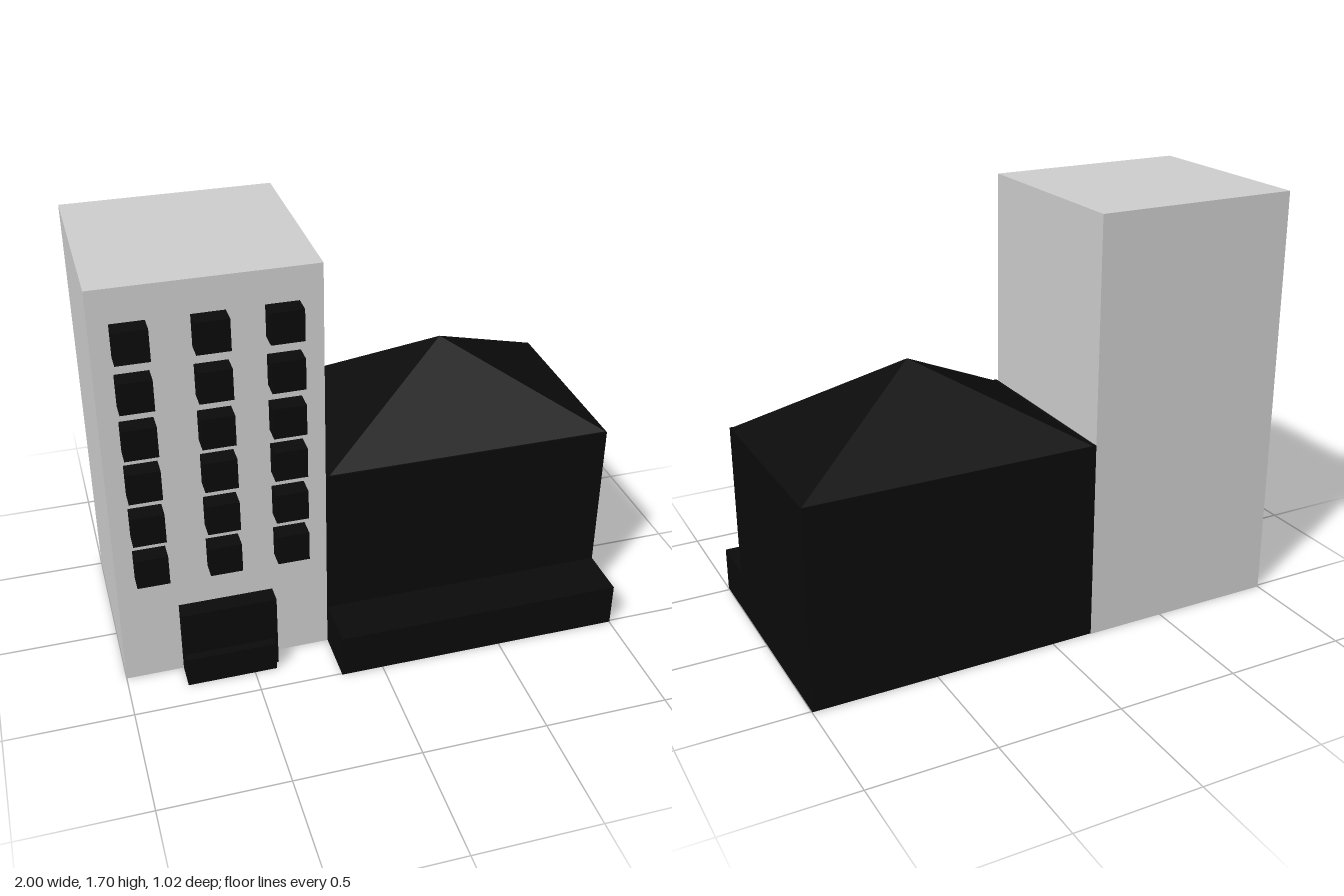
import * as THREE from 'three';

export function createModel() {
  const model = new THREE.Group();
  const grey = new THREE.MeshStandardMaterial({ color: 0xcccccc, flatShading: true });
  const black = new THREE.MeshStandardMaterial({ color: 0x0a0a0a, flatShading: true });

  // Box given by its lower and upper corners
  function box(name, material, [x0, y0, z0], [x1, y1, z1], parent = model) {
    const mesh = new THREE.Mesh(new THREE.BoxGeometry(x1 - x0, y1 - y0, z1 - z0), material);
    mesh.position.set((x0 + x1) / 2, (y0 + y1) / 2, (z0 + z1) / 2);
    mesh.name = name;
    parent.add(mesh);
    return mesh;
  }

  // Tall block with its doorway and step
  box('tower', grey, [-1, 0, -0.51], [-0.17, 1.7, 0.287]);
  box('door', black, [-0.77, 0, 0.287], [-0.395, 0.32, 0.36]);
  box('doorStep', black, [-0.77, 0, 0.287], [-0.41, 0.127, 0.395]);

  // Projecting windows, three to a floor
  const windows = new THREE.Group();
  windows.name = 'windows';
  model.add(windows);
  const half = 0.0625;
  for (const y of [0.553, 0.745, 0.935, 1.12, 1.31, 1.505]) {
    for (const x of [-0.865, -0.584, -0.32]) {
      box('window', black, [x - half, y - half, 0.287], [x + half, y + half, 0.36], windows);
    }
  }

  // Low house with a front terrace
  box('house', black, [-0.17, 0.003, -0.51], [1, 0.815, 0.3]);
  box('terrace', black, [-0.17, 0.003, 0.3], [1, 0.185, 0.51]);

  // Four-sided pyramid roof
  const roofShape = new THREE.ConeGeometry(Math.SQRT1_2, 1, 4).rotateY(Math.PI / 4);
  roofShape.scale(1.16, 0.32, 0.805);
  const roof = new THREE.Mesh(roofShape, black);
  roof.position.set(0.42, 0.973, -0.107);
  roof.name = 'roof';
  model.add(roof);

  return model;
}
